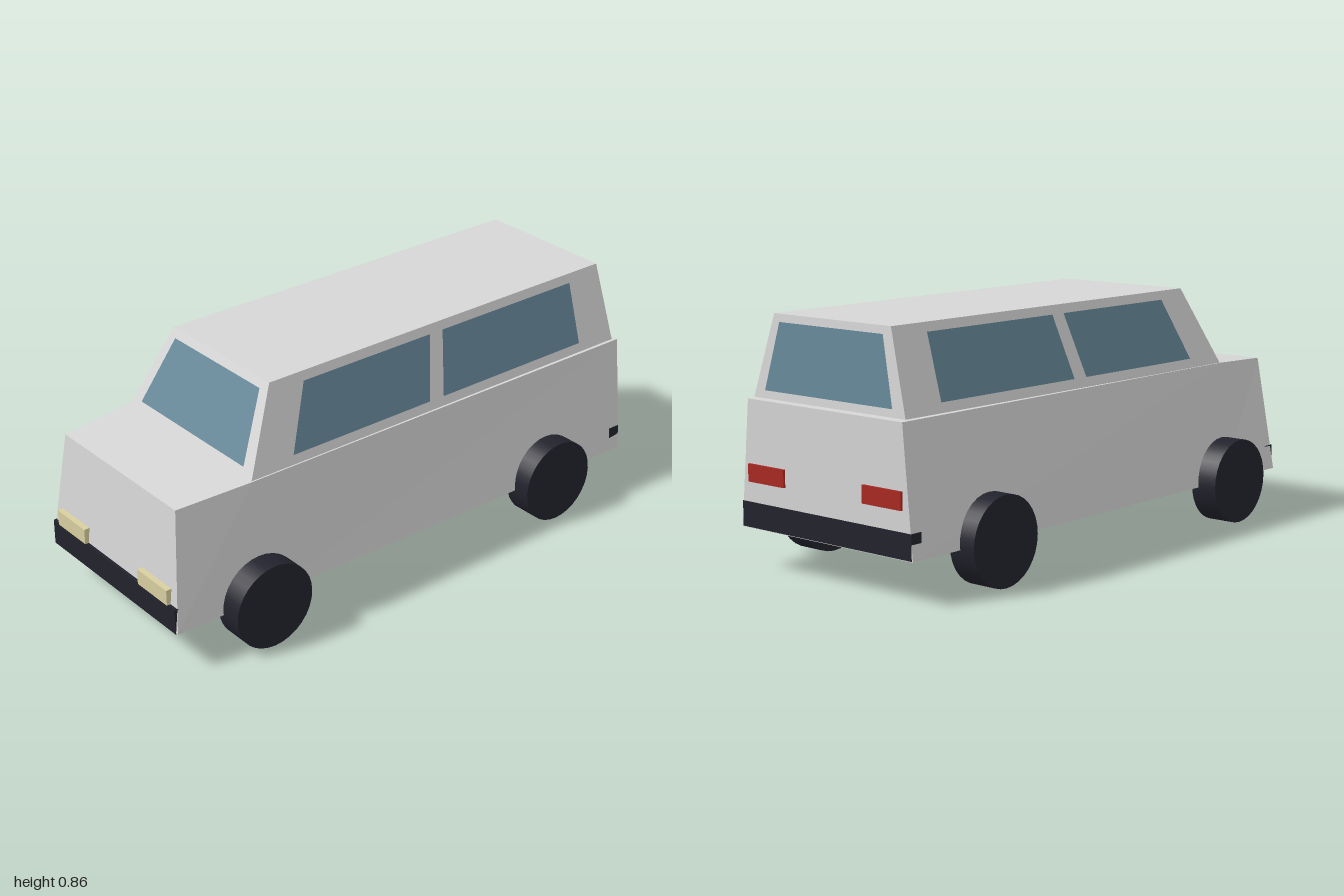
import * as THREE from 'three';

const mat = (name, color, opts = {}) => {
  const m = new THREE.MeshStandardMaterial({ color, ...opts });
  m.name = name;
  return m;
};

// Flat-sided geometry from a list of four-cornered faces
function quads(faces) {
  const pos = [];
  for (const [a, b, c, d] of faces) pos.push(...a, ...b, ...c, ...a, ...c, ...d);
  const g = new THREE.BufferGeometry();
  g.setAttribute('position', new THREE.Float32BufferAttribute(pos, 3));
  g.computeVertexNormals();
  return g;
}

// Closed loft through trapezoid sections, listed front to back
function loft(sections) {
  const rings = sections.map(({ bottom: [bx, by, bz], top: [tx, ty, tz] }) =>
    [[-bx, by, bz], [bx, by, bz], [tx, ty, tz], [-tx, ty, tz]]);
  const faces = [rings[0], [...rings[rings.length - 1]].reverse()];
  for (let i = 0; i < rings.length - 1; i++) {
    for (let j = 0; j < 4; j++) {
      const k = (j + 1) % 4;
      faces.push([rings[i][j], rings[i + 1][j], rings[i + 1][k], rings[i][k]]);
    }
  }
  return quads(faces);
}

export function createModel() {
  const model = new THREE.Group();
  model.name = 'van';
  const paint = mat('grey paint', 0xd6d6d6);
  const glass = mat('blue glass', 0x668899, { side: THREE.DoubleSide });
  const dark = mat('dark rubber', 0x22222d);
  const cream = mat('headlight cream', 0xd8cfa0);
  const red = mat('tail light red', 0xaa2a22);

  const add = (name, geometry, material) => {
    const mesh = new THREE.Mesh(geometry, material);
    mesh.name = name;
    model.add(mesh);
    return mesh;
  };
  const box = (name, material, [x0, x1], [y0, y1], [z0, z1]) =>
    add(name, new THREE.BoxGeometry(x1 - x0, y1 - y0, z1 - z0), material)
      .position.set((x0 + x1) / 2, (y0 + y1) / 2, (z0 + z1) / 2);

  // Lower body with sloping nose and short bonnet
  add('lowerBody', loft([
    { bottom: [0.37, 0.143, 0.995], top: [0.32, 0.566, 0.95] },
    { bottom: [0.373, 0.143, 0.67], top: [0.35, 0.58, 0.67] },
    { bottom: [0.392, 0.143, -0.992], top: [0.352, 0.575, -0.992] },
  ]), paint);

  // Tapered cabin
  add('cabin', loft([
    { bottom: [0.345, 0.579, 0.67], top: [0.265, 0.858, 0.532] },
    { bottom: [0.345, 0.579, -0.97], top: [0.265, 0.858, -0.948] },
  ]), paint);

  // Glass lies just outside the sloping cabin walls
  const gap = 0.004;
  const rise = (y) => (y - 0.579) / 0.279;
  const sideX = (y) => 0.345 - 0.08 * rise(y) + gap;
  const frontZ = (y) => 0.67 - 0.138 * rise(y) + gap;
  const rearZ = (y) => -0.97 + 0.022 * rise(y) - gap;

  const endPane = (zAt) => {
    const [lo, hi] = [0.606, 0.832];
    return quads([[[-0.29, lo, zAt(lo)], [0.29, lo, zAt(lo)],
      [0.235, hi, zAt(hi)], [-0.235, hi, zAt(hi)]]]);
  };
  add('windshield', endPane(frontZ), glass);
  add('rearWindow', endPane(rearZ), glass);

  // Side panes: z of bottom front, bottom back, top back, top front
  const panes = {
    FrontWindow: [0.495, -0.093, -0.14, 0.402],
    BackWindow: [-0.155, -0.805, -0.802, -0.198],
  };
  for (const [side, s] of [['left', 1], ['right', -1]]) {
    for (const [name, z] of Object.entries(panes)) {
      const corners = z.map((v, i) => {
        const y = i < 2 ? 0.612 : 0.828;
        return [s * sideX(y), y, v];
      });
      add(side + name, quads([s > 0 ? corners : corners.reverse()]), glass);
    }

    // Wheels
    for (const [end, z] of [['Front', 0.662], ['Back', -0.624]]) {
      const wheel = new THREE.CylinderGeometry(0.153, 0.153, 0.103, 32).rotateZ(Math.PI / 2);
      add(side + end + 'Wheel', wheel, dark).position.set(s * 0.397, 0.153, z);
    }

    // Lamps
    const span = (a, b) => (s > 0 ? [a, b] : [-b, -a]);
    box(side + 'Headlight', cream, span(0.157, 0.322), [0.232, 0.288], [0.96, 1.0]);
    box(side + 'TailLight', red, span(0.18, 0.35), [0.3, 0.36], [-1.0, -0.97]);
  }

  // Bumpers
  box('frontBumper', dark, [-0.36, 0.36], [0.14, 0.232], [0.95, 0.997]);
  box('rearBumper', dark, [-0.387, 0.387], [0.145, 0.231], [-0.993, -0.948]);

  return model;
}
